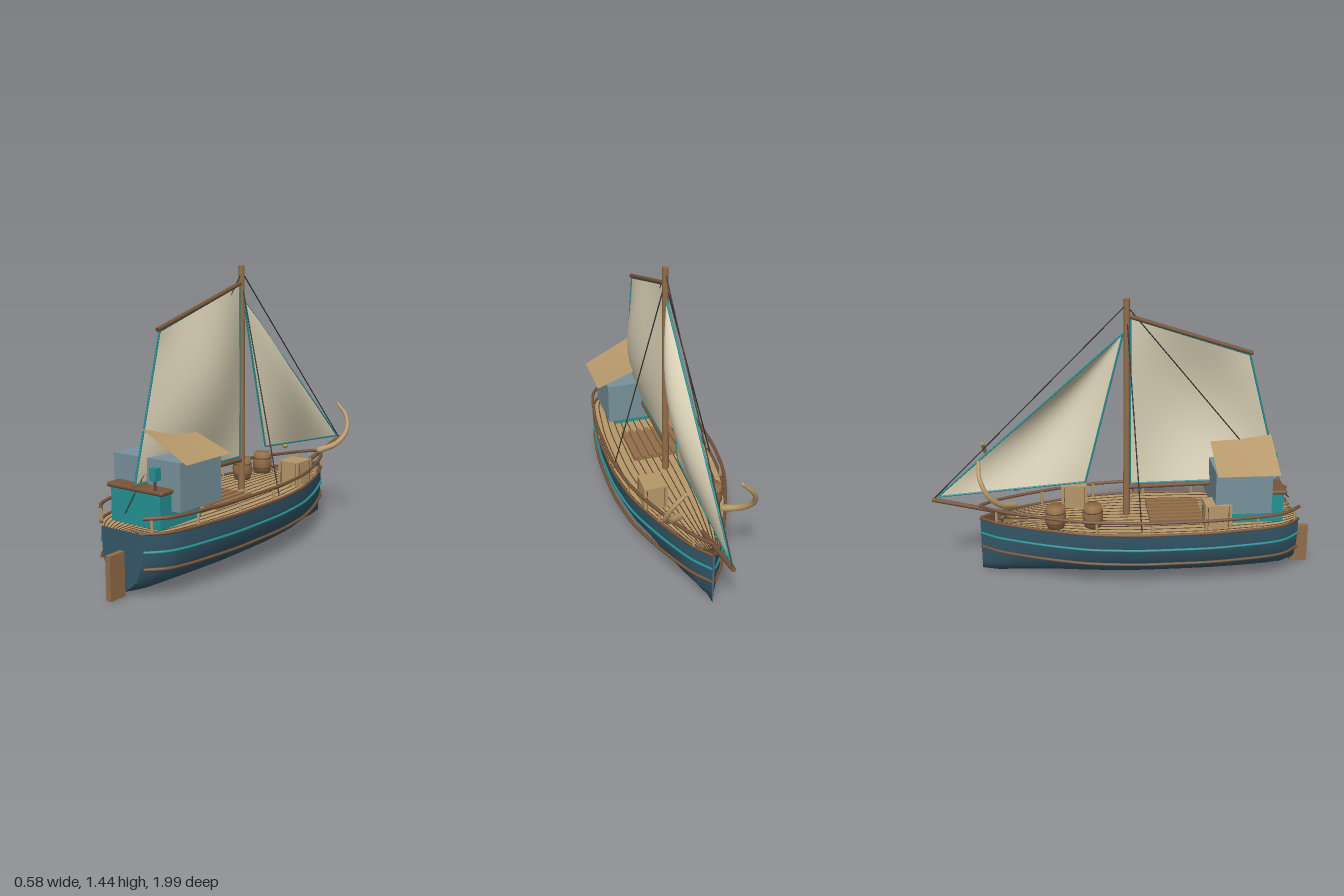
import * as THREE from 'three';
import { RoundedBoxGeometry } from 'three/addons/geometries/RoundedBoxGeometry.js';

const V = (x, y, z) => new THREE.Vector3(x, y, z);
const mat = (name, color, side = THREE.FrontSide) => {
  const m = new THREE.MeshStandardMaterial({ color, side });
  m.name = name;
  return m;
};

// Deck outline: [z, half width] from stern to bow
const OUTLINE = [[0.91, 0.125], [0.83, 0.195], [0.75, 0.225], [0.6, 0.25], [0.44, 0.27], [0.25, 0.276], [0.07, 0.276],
  [-0.07, 0.263], [-0.2, 0.243], [-0.39, 0.185], [-0.56, 0.118], [-0.66, 0.07], [-0.75, 0.004]];
// Hull section: [share of half width, y] from deck edge to keel
const SECTION = [[1, 0.3], [0.985, 0.24], [0.93, 0.155], [0.67, 0.065], [0.35, 0.028], [0, 0]];
const DECK = 0.3;

function halfWidth(z) {
  for (let i = 1; i < OUTLINE.length; i++) {
    const [z0, w0] = OUTLINE[i - 1], [z1, w1] = OUTLINE[i];
    if (z >= z1) return w0 + (w1 - w0) * (z - z0) / (z1 - z0);
  }
  return 0;
}

export function createModel() {
  const root = new THREE.Group();
  const hullBlue = mat('hull blue', 0x35586a);
  const teal = mat('teal', 0x249294);
  const canvas = mat('sail canvas', 0xd8cfb4, THREE.DoubleSide);
  const cabinGrey = mat('cabin grey', 0x78929b);
  const brown = mat('brown wood', 0x936d49);
  const tan = mat('tan wood', 0xb6986a);
  const railBrown = mat('rail brown', 0x76543a);
  const dark = mat('dark seam', 0x5c4530);
  const rope = mat('rope', 0x332e29);

  const add = (name, geo, m, x = 0, y = 0, z = 0, parent = root) => {
    const mesh = new THREE.Mesh(geo, m);
    mesh.name = name;
    mesh.position.set(x, y, z);
    parent.add(mesh);
    return mesh;
  };
  // box given by its centre in x and z and its base in y
  const box = (name, m, x, y, z, w, h, d, parent) =>
    add(name, new THREE.BoxGeometry(w, h, d), m, x, y + h / 2, z, parent);
  // straight round bar between two points
  const rod = (name, a, b, r, m, r2 = r, sides = 10) => {
    const mesh = add(name, new THREE.CylinderGeometry(r2, r, a.distanceTo(b), sides), m);
    mesh.position.copy(a).add(b).multiplyScalar(0.5);
    mesh.quaternion.setFromUnitVectors(V(0, 1, 0), b.clone().sub(a).normalize());
    return mesh;
  };
  // bar that follows the deck outline at a share of its width
  const outlineBar = (name, share, y, r, m, sides = 6) => {
    const path = new THREE.CatmullRomCurve3(OUTLINE.map(([z, w]) => V(w * share, y, z)), false, 'centripetal');
    add(name, new THREE.TubeGeometry(path, 48, r, sides), m);
  };

  // Hull skin lofted through the stations
  const half = SECTION.length, full = 2 * half - 1;
  const section = (w, lift) => Array.from({ length: full }, (_, j) => {
    const k = j < half ? j : full - 1 - j;
    const [s, y] = SECTION[k];
    return [(j < half ? 1 : -1) * s * w, y + lift * (1 - y / DECK)];
  });
  const pos = [], idx = [];
  OUTLINE.forEach(([z, w], i) => {
    const lift = i === 0 || i === OUTLINE.length - 1 ? 0.015 : 0;
    section(w, lift).forEach(([x, y]) => pos.push(x, y, z));
    if (i) for (let j = 0; j < full - 1; j++) {
      const a = (i - 1) * full + j, b = a + full;
      idx.push(a, a + 1, b, a + 1, b + 1, b);
    }
  });
  const skin = new THREE.BufferGeometry();
  skin.setAttribute('position', new THREE.Float32BufferAttribute(pos, 3));
  skin.setIndex(idx);
  skin.computeVertexNormals();
  add('hull', skin, hullBlue);
  const transom = new THREE.Shape(section(OUTLINE[0][1], 0.015).map(([x, y]) => new THREE.Vector2(x, y)));
  add('transom', new THREE.ShapeGeometry(transom), hullBlue, 0, 0, OUTLINE[0][0]);

  // Deck and plank seams
  const edge = [...OUTLINE.map(([z, w]) => new THREE.Vector2(w, -z)),
    ...OUTLINE.slice().reverse().map(([z, w]) => new THREE.Vector2(-w, -z))];
  add('deck', new THREE.ShapeGeometry(new THREE.Shape(edge)).rotateX(-Math.PI / 2), tan, 0, DECK, 0);
  for (let k = -6; k <= 6; k++) outlineBar('deckSeam', k / 7, DECK, 0.0028, dark, 4);

  // Rails, rubbing strakes and rail posts
  for (const s of [-1, 1]) {
    outlineBar('topRail', 1.02 * s, 0.373, 0.009, railBrown);
    outlineBar('deckEdge', 1.01 * s, 0.304, 0.008, railBrown);
    outlineBar('tealStrake', 1.01 * s, 0.22, 0.007, teal);
    outlineBar('lowerStrake', 1.01 * s, 0.143, 0.008, railBrown);
    for (const z of [0.88, 0.67, 0.4, 0.13, -0.15, -0.43, -0.66])
      rod('railPost', V(s * halfWidth(z), 0.3, z), V(s * halfWidth(z), 0.373, z), 0.007, tan);
  }

  // Rudder, mast and spars
  box('rudder', brown, 0, 0, 0.955, 0.028, 0.206, 0.09);
  rod('mast', V(0, DECK, 0.018), V(0, 1.445, 0.018), 0.018, brown, 0.015, 14);
  rod('gaff', V(0, 1.362, 0.02), V(0, 1.162, 0.655), 0.011, railBrown);
  rod('boom', V(0, 0.457, 0.02), V(0, 0.474, 0.83), 0.013, railBrown);
  rod('bowsprit', V(0, 0.322, -0.59), V(0, 0.415, -0.99), 0.012, railBrown);

  // Sails: four corners, bellied toward the left side
  const sail = (name, a, b, c, d) => {
    const geo = new THREE.PlaneGeometry(1, 1, 16, 16), p = geo.attributes.position;
    for (let i = 0; i < p.count; i++) {
      const u = p.getX(i) + 0.5, v = 0.5 - p.getY(i);
      const q = a.clone().lerp(b, u).lerp(d.clone().lerp(c, u), v);
      q.x += 0.078 * Math.sin(Math.PI * u) * Math.sin(Math.PI * v);
      p.setXYZ(i, q.x, q.y, q.z);
    }
    geo.computeVertexNormals();
    add(name, geo, canvas);
    [[a, b], [b, c], [c, d], [d, a]].forEach(([m, n]) => {
      if (m.distanceTo(n) > 0.01) rod(name + 'Edge', m, n, 0.005, teal, 0.005, 6);
    });
  };
  sail('mainSail', V(0, 1.35, 0.036), V(0, 1.155, 0.64), V(0, 0.485, 0.82), V(0, 0.475, 0.036));
  sail('foreSail', V(0, 1.275, 0), V(0, 1.275, 0), V(0, 0.43, -0.96), V(0, 0.49, -0.197));

  // Standing rigging
  rod('forestay', V(0, 1.41, 0.01), V(0, 0.42, -0.98), 0.003, rope, 0.003, 6);
  rod('backstay', V(0, 1.41, 0.018), V(0, 0.37, 0.885), 0.003, rope, 0.003, 6);
  for (const s of [-1, 1])
    rod('shroud', V(0, 1.37, 0.018), V(s * 0.272, 0.32, 0.075), 0.0035, rope, 0.0035, 6);

  // Tusks at the bow, tapering to the tip
  for (const s of [-1, 1]) {
    const path = new THREE.CatmullRomCurve3([V(s * 0.115, 0.42, -0.565), V(s * 0.185, 0.455, -0.625),
      V(s * 0.217, 0.52, -0.685), V(s * 0.195, 0.6, -0.722), V(s * 0.135, 0.665, -0.73)]);
    const n = 24, sides = 10, geo = new THREE.TubeGeometry(path, n, 0.018, sides), p = geo.attributes.position;
    for (let i = 0; i < p.count; i++) {
      const t = Math.floor(i / (sides + 1)) / n, c = path.getPointAt(t);
      const q = V(p.getX(i), p.getY(i), p.getZ(i)).sub(c).multiplyScalar(1 - 0.5 * t).add(c);
      p.setXYZ(i, q.x, q.y, q.z);
    }
    add('tusk', geo, tan);
    for (const [t, r] of [[0, 0.018], [1, 0.009]])
      add('tuskEnd', new THREE.SphereGeometry(r, 10, 8), tan, ...path.getPointAt(t).toArray());
  }

  // Cabin, helm console and shelf
  box('console', teal, 0, DECK, 0.68, 0.295, 0.158, 0.28);
  box('cabin', cabinGrey, 0, 0.372, 0.6, 0.4, 0.224, 0.29);
  add('consoleShelf', new RoundedBoxGeometry(0.335, 0.022, 0.085, 3, 0.01), railBrown, 0, 0.467, 0.79);
  rod('lanternPost', V(0.12, 0.475, 0.82), V(0.12, 0.525, 0.82), 0.006, dark);
  box('lantern', teal, 0.12, 0.523, 0.82, 0.036, 0.057, 0.036);

  // Thin gabled roof, outward faces only, with a slightly sagging ridge
  const ridge = [[0.77, 0.73], [0.61, 0.706], [0.453, 0.697]];
  for (const s of [-1, 1]) {
    const v = [], f = [];
    ridge.forEach(([z, y], i) => {
      v.push(0, y, z, s * 0.257, 0.598, z);
      const a = 2 * (i - 1);
      if (i) f.push(...(s > 0 ? [a, a + 1, a + 2, a + 1, a + 3, a + 2] : [a, a + 2, a + 1, a + 1, a + 2, a + 3]));
    });
    const geo = new THREE.BufferGeometry();
    geo.setAttribute('position', new THREE.Float32BufferAttribute(v, 3));
    geo.setIndex(f);
    geo.computeVertexNormals();
    add('roof', geo, tan);
  }

  // Slatted hatch
  box('hatchBase', brown, 0, DECK, 0.27, 0.285, 0.009, 0.28);
  for (let i = -3; i <= 3; i++) box('hatchSlat', brown, i * 0.043, DECK, 0.27, 0.026, 0.024, 0.28);

  // Barrels with hoops
  const staves = [[0, 0], [0.043, 0], [0.051, 0.035], [0.053, 0.057], [0.051, 0.08], [0.045, 0.115], [0, 0.115]];
  for (const z of [-0.355, -0.165]) {
    add('barrel', new THREE.LatheGeometry(staves.map(([r, y]) => new THREE.Vector2(r, y)), 18), brown, -0.13, DECK, z);
    for (const y of [0.03, 0.085])
      add('barrelHoop', new THREE.TorusGeometry(0.05, 0.003, 6, 20).rotateX(Math.PI / 2), dark, -0.13, DECK + y, z);
  }

  // Crates with framed edges
  for (const [x, z] of [[0.153, -0.255], [-0.158, 0.47]]) {
    const crate = new THREE.Group();
    crate.name = 'crate';
    crate.position.set(x, DECK, z);
    root.add(crate);
    box('crateBody', tan, 0, 0, 0, 0.116, 0.126, 0.132, crate);
    for (const s of [-1, 1]) for (const t of [-1, 1]) {
      box('cratePost', tan, s * 0.054, 0, t * 0.062, 0.014, 0.128, 0.014, crate);
      box('crateSeam', dark, s * 0.058, 0.008, t * 0.053, 0.003, 0.11, 0.003, crate);
      box('crateSeam', dark, s * 0.045, 0.008, t * 0.066, 0.003, 0.11, 0.003, crate);
    }
  }
  return root;
}
